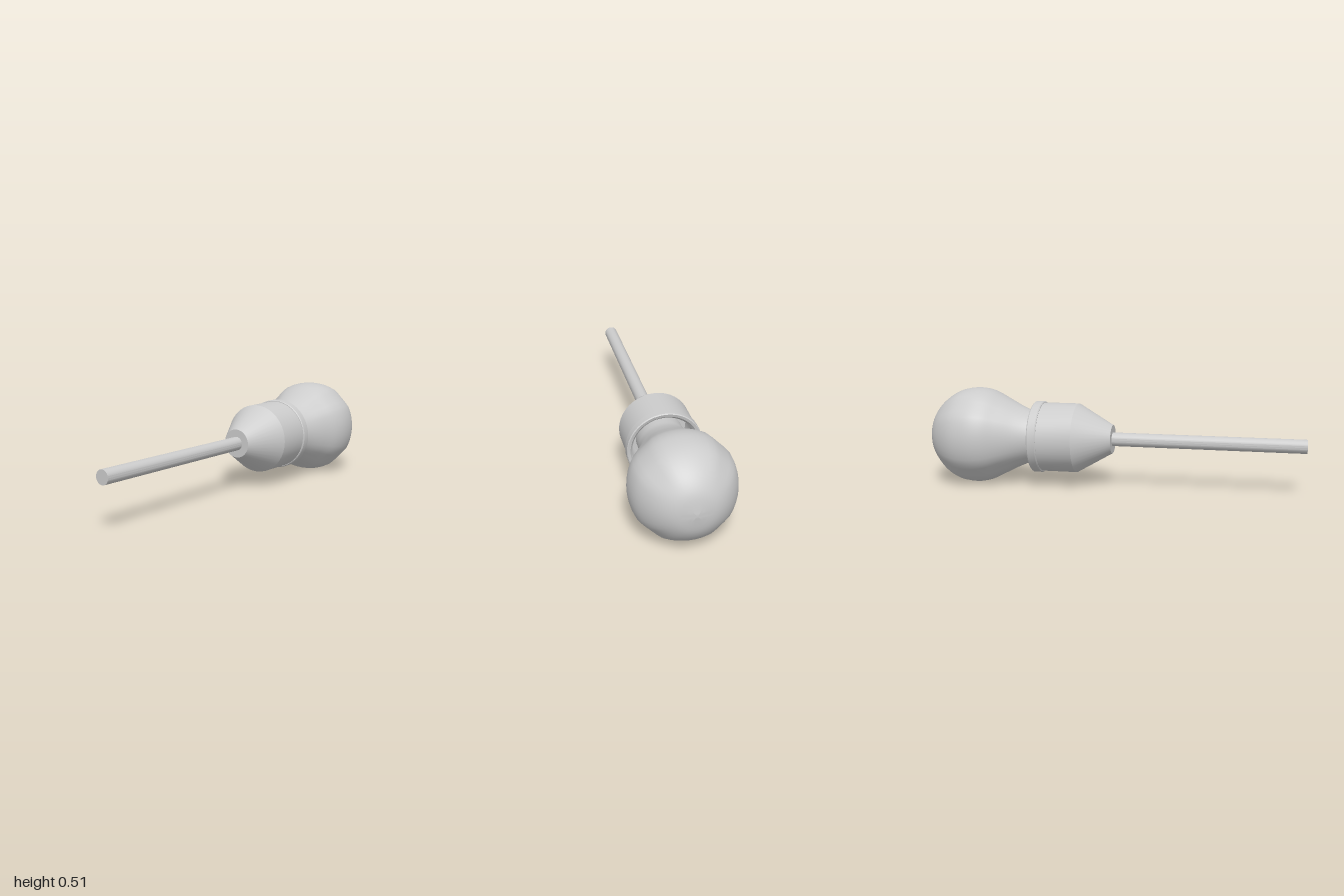
import * as THREE from 'three';
import { toCreasedNormals } from 'three/addons/utils/BufferGeometryUtils.js';

const AXIS_Y = 0.256;
const material = new THREE.MeshStandardMaterial({ color: 0xcccccc, side: THREE.DoubleSide });

// Turns [radius, z] points, listed from back to front, around the tool's axis
function turn(name, points, sides, crease = 0.4) {
  const profile = points.map(([r, z]) => new THREE.Vector2(r, z));
  const geometry = new THREE.LatheGeometry(profile, sides).rotateX(Math.PI / 2);
  const mesh = new THREE.Mesh(toCreasedNormals(geometry, crease), material);
  mesh.name = name;
  mesh.position.y = AXIS_Y;
  return mesh;
}

// Pear-shaped grip whose widest part is slightly flattened on the diagonals
function makeHandle() {
  const curve = new THREE.SplineCurve([
    [0, -1], [0.1, -0.98], [0.178, -0.925], [0.236, -0.84], [0.254, -0.75],
    [0.243, -0.67], [0.205, -0.59], [0.16, -0.5], [0.13, -0.42], [0.122, -0.36], [0.12, -0.3],
  ].map(([r, z]) => new THREE.Vector2(r, z)));
  const points = curve.getPoints(50);
  points[0].x = 0;
  const geometry = new THREE.LatheGeometry(points, 48);
  const pos = geometry.attributes.position;
  for (let i = 0; i < pos.count; i++) {
    const x = pos.getX(i), z = pos.getZ(i);
    const angle = Math.atan2(Math.abs(z), Math.abs(x));
    const bulge = 1 + 0.02 * Math.sin(2 * angle) ** 2;
    const flat = 0.988 / Math.cos(angle - Math.PI / 4);
    const amount = THREE.MathUtils.smoothstep(Math.hypot(x, z), 0.12, 0.22);
    const k = THREE.MathUtils.lerp(1, Math.min(bulge, flat), amount);
    pos.setX(i, x * k);
    pos.setZ(i, z * k);
  }
  geometry.rotateX(Math.PI / 2);
  const mesh = new THREE.Mesh(toCreasedNormals(geometry, 0.8), material);
  mesh.name = 'handle';
  mesh.position.y = AXIS_Y;
  return mesh;
}

export function createModel() {
  const group = new THREE.Group();
  group.name = 'screwdriver';

  group.add(makeHandle());

  // Hollow ferrule, open at the back around the neck of the handle
  group.add(turn('ferrule', [
    [0, -0.2], [0.16, -0.2], [0.16, -0.38], [0.183, -0.38],
    [0.183, -0.19], [0.075, -0.003], [0, -0.003],
  ], 40));

  // Raised collar around the ferrule's open end
  group.add(turn('collar', [
    [0.16, -0.375], [0.16, -0.405], [0.172, -0.42], [0.186, -0.424],
    [0.19, -0.419], [0.19, -0.38], [0.186, -0.375], [0.16, -0.375],
  ], 40));

  // Round shaft
  group.add(turn('shaft', [[0, -0.1], [0.036, -0.1], [0.036, 1], [0, 1]], 24));

  return group;
}
